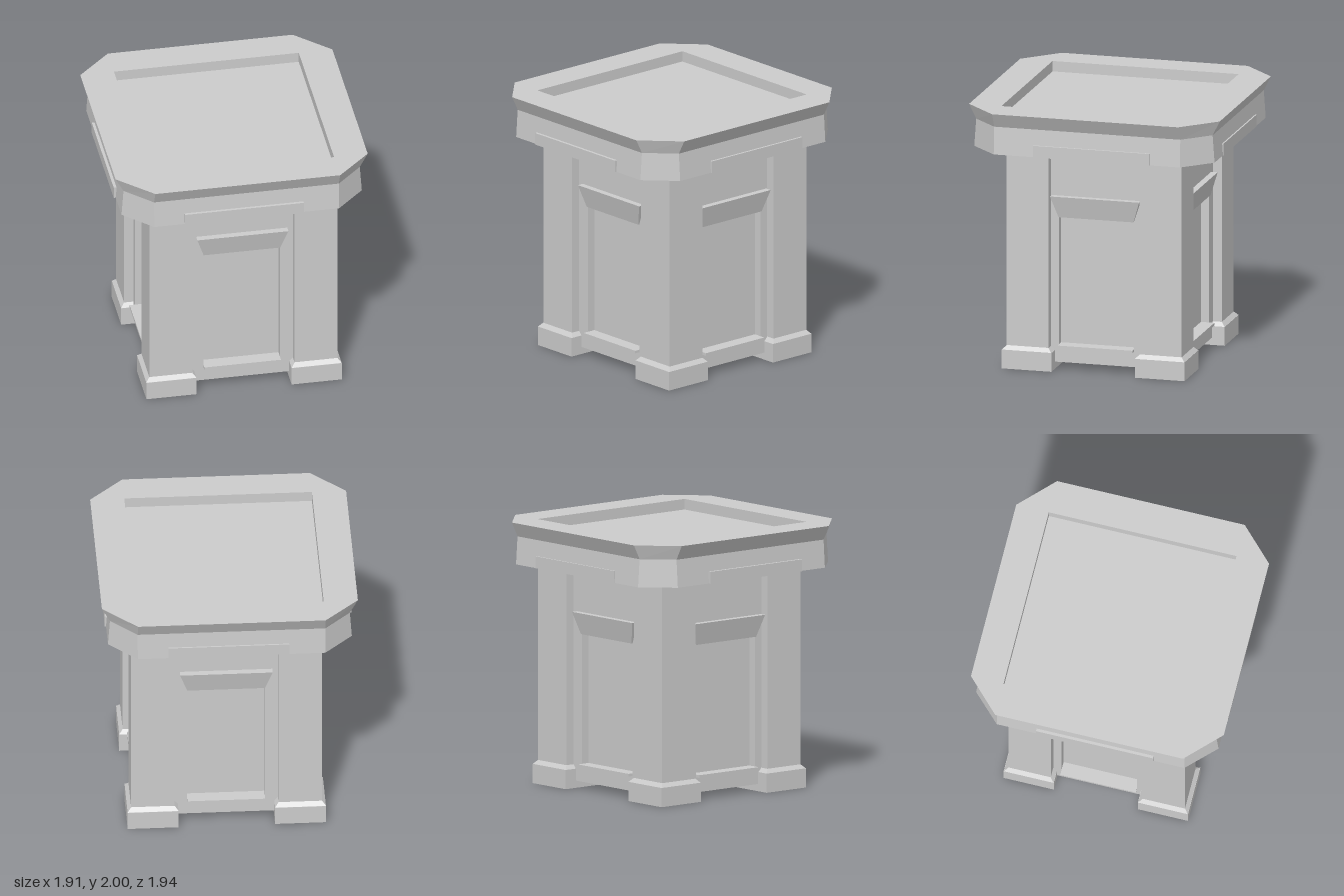
import * as THREE from 'three';

const material = new THREE.MeshStandardMaterial({ color: 0xcccccc, flatShading: true, side: THREE.DoubleSide });

function add(parent, name, geometry, x = 0, y = 0, z = 0) {
  const mesh = new THREE.Mesh(geometry, material);
  mesh.name = name;
  mesh.position.set(x, y, z);
  parent.add(mesh);
  return mesh;
}

// Skin stacked rings of equal point count, from the underside up, closing both ends.
function loft(rings) {
  const n = rings[0].length;
  const index = [];
  for (let r = 0; r < rings.length - 1; r++) {
    for (let i = 0; i < n; i++) {
      const a = r * n + i, b = r * n + (i + 1) % n;
      index.push(a, a + n, b, b, a + n, b + n);
    }
  }
  const last = (rings.length - 1) * n;
  for (let i = 1; i < n - 1; i++) {
    index.push(0, i, i + 1);
    index.push(last, last + i + 1, last + i);
  }
  const geometry = new THREE.BufferGeometry();
  geometry.setAttribute('position', new THREE.Float32BufferAttribute(rings.flat(2), 3));
  geometry.setIndex(index);
  const flat = geometry.toNonIndexed();
  flat.computeVertexNormals();
  return flat;
}

// Octagon whose chamfers begin at cx and cz.
function octagon(x, z, y, cx = 0.7, cz = 0.72) {
  return [[x, y, -cz], [x, y, cz], [cx, y, z], [-cx, y, z],
    [-x, y, cz], [-x, y, -cz], [-cx, y, -z], [cx, y, -z]];
}

// Square pillar on a bevelled foot.
function createPillar(x, z) {
  const pillar = new THREE.Group();
  pillar.name = 'cornerPillar';
  pillar.position.set(x, 0, z);
  add(pillar, 'foot', new THREE.BoxGeometry(0.38, 0.145, 0.385), 0, 0.0725, 0);
  const bevel = new THREE.CylinderGeometry(0.1625 * Math.SQRT2, 0.19 * Math.SQRT2, 0.03, 4, 1, true);
  add(pillar, 'footBevel', bevel.rotateY(Math.PI / 4), 0, 0.16, 0);
  add(pillar, 'shaft', new THREE.BoxGeometry(0.325, 1.535, 0.325), 0, 0.9125, 0);
  return pillar;
}

// Wall between two pillars; local z = 0 is the pillar face.
function createWall(width) {
  const wall = new THREE.Group();
  const w = width / 2, o = 0.29;
  const frame = new THREE.Shape([
    new THREE.Vector2(-w, 0.055), new THREE.Vector2(w, 0.055),
    new THREE.Vector2(w, 1.68), new THREE.Vector2(-w, 1.68)]);
  frame.holes.push(new THREE.Path([
    new THREE.Vector2(-o, 0.17), new THREE.Vector2(-o, 1.17),
    new THREE.Vector2(o, 1.17), new THREE.Vector2(o, 0.17)]));
  add(wall, 'panelFrame', new THREE.ExtrudeGeometry(frame, { depth: 0.065, bevelEnabled: false }), 0, 0, -0.135);
  add(wall, 'recessedPanel', new THREE.BoxGeometry(width, 1.625, 0.04), 0, 0.8675, -0.155);
  add(wall, 'sill', new THREE.BoxGeometry(2 * o, 0.02, 0.105), 0, 0.18, -0.0825);

  // Hood leans outward and widens toward its top.
  const hood = new THREE.BoxGeometry(2 * o, 0.165, 0.08);
  const p = hood.attributes.position;
  for (let i = 0; i < p.count; i++) {
    if (p.getY(i) < 0) continue;
    p.setX(i, Math.sign(p.getX(i)) * 0.345);
    if (p.getZ(i) > 0) p.setZ(i, 0.08);
  }
  hood.computeVertexNormals();
  add(wall, 'hood', hood, 0, 1.2525, -0.1);
  return wall;
}

export function createModel() {
  const model = new THREE.Group();
  model.name = 'pedestal';

  for (const x of [-0.5275, 0.5725]) {
    for (const z of [-0.5225, 0.5075]) model.add(createPillar(x, z));
  }

  // name, wall width, x, z, turn, moulding centre x and z
  const sides = [
    ['front', 0.775, 0.0225, 0.67, 0, -0.02, 0.905],
    ['left', 0.70, 0.735, -0.005, Math.PI / 2, 0.88, -0.035],
    ['back', 0.775, 0.0225, -0.685, Math.PI, 0.02, -0.895],
    ['right', 0.70, -0.69, -0.005, -Math.PI / 2, -0.885, 0.035],
  ];
  for (const [name, width, x, z, turn, mx, mz] of sides) {
    const wall = createWall(width);
    wall.name = name + 'Wall';
    wall.position.set(x, 0, z);
    wall.rotation.y = turn;
    model.add(wall);
    const strip = add(model, name + 'Moulding', new THREE.BoxGeometry(0.9, 0.09, 0.08), mx, 1.725, mz);
    strip.rotation.y = turn;
  }

  // Flared octagonal top with a sunken rectangular tray.
  const tray = (y) => octagon(0.7, 0.72, y);
  add(model, 'top', loft([
    octagon(0.91, 0.93, 1.68),
    octagon(0.895, 0.915, 1.89),
    octagon(0.955, 0.97, 2),
    tray(2),
    tray(1.92),
  ]));
  return model;
}
